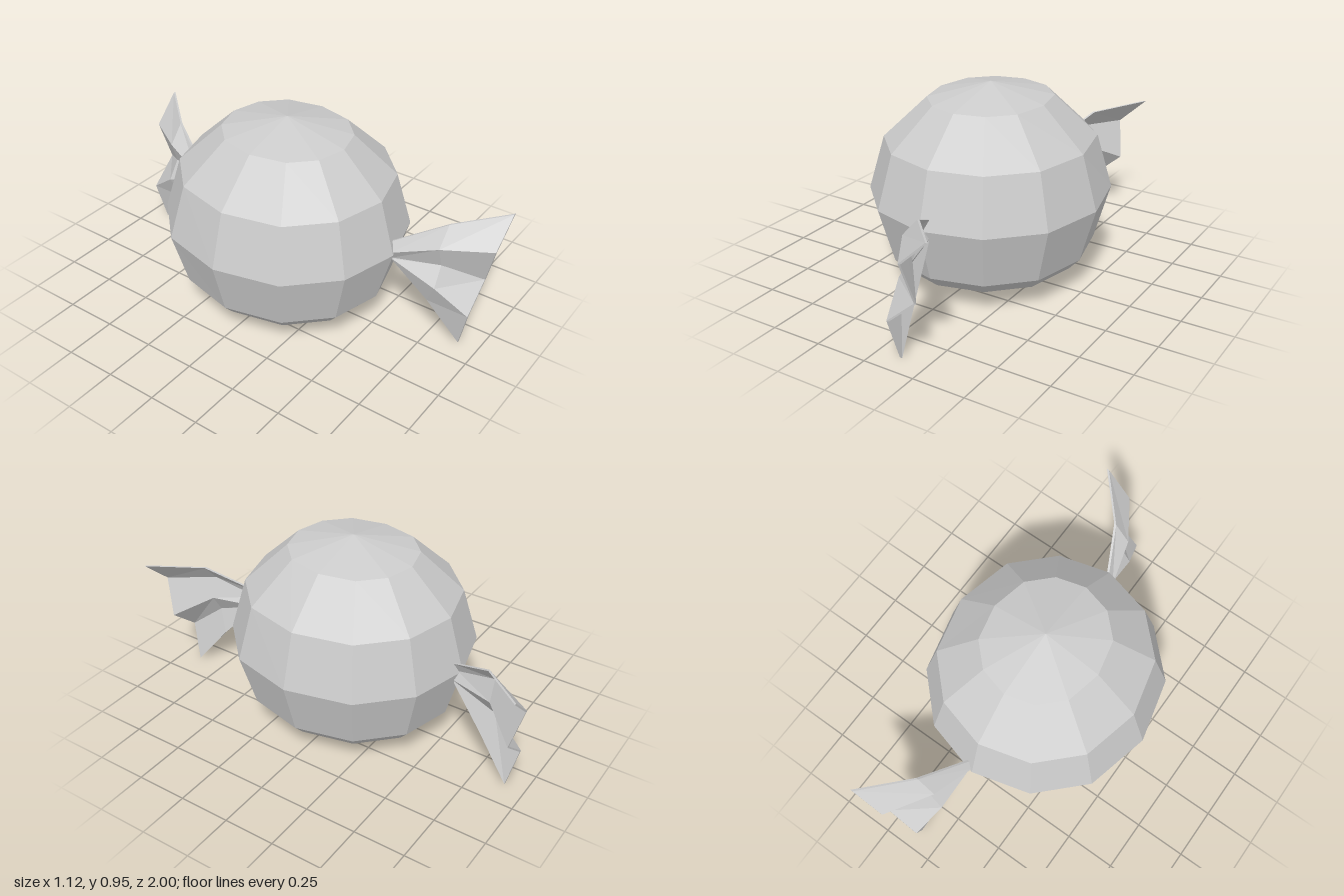
import * as THREE from 'three';

const material = new THREE.MeshStandardMaterial({ color: 0xcccccc, flatShading: true });

// Faceted dome with a recessed underside; front and back halves are pulled slightly apart
function makeBody() {
  const radius = 0.56, pull = 0.03;
  const profile = [
    [0, 0.48], [0.78, 0.25], [0.67, 0.095], [0.77, 0.107], [0.866, 0.165],
    [1, 0.43], [0.866, 0.69], [0.5, 0.885], [0, 0.955],
  ].map(([r, y]) => new THREE.Vector2(r * radius, y));
  const geometry = new THREE.LatheGeometry(profile, 12);
  const position = geometry.attributes.position;
  for (let i = 0; i < position.count; i++) {
    const z = position.getZ(i);
    if (Math.abs(z) > 1e-4) position.setZ(i, z + Math.sign(z) * pull);
  }
  // Poles stay centred
  for (let i = 0; i < position.count; i++) {
    if (Math.hypot(position.getX(i), position.getZ(i)) < pull + 0.01) position.setZ(i, 0);
  }
  const body = new THREE.Mesh(geometry, material);
  body.name = 'body';
  return body;
}

// Pleated fan: three cross-sections from the root to the free edge, each top to bottom
function makeFanGeometry() {
  const sections = [
    [[0.034, 0.485, 0.565], [0.012, 0.437, 0.575], [0.034, 0.395, 0.57], [0.032, 0.39, 0.57], [0.034, 0.383, 0.57]],
    [[0.145, 0.6, 0.785], [0.066, 0.51, 0.785], [0.102, 0.405, 0.785], [0.043, 0.31, 0.79], [0.08, 0.2, 0.74]],
    [[0.338, 0.635, 1], [0.199, 0.505, 0.995], [0.234, 0.315, 0.945], [0.09, 0.19, 0.945], [0.118, 0, 0.9]],
  ];
  const half = 0.006;
  const positions = [];
  const index = [];
  const n = sections[0].length;
  const ring = 2 * n;

  // Each ring goes down one side of the sheet and back up the other
  for (const section of sections) {
    for (const [x, y, z] of section) positions.push(x + half, y, z);
    for (const [x, y, z] of [...section].reverse()) positions.push(x - half, y, z);
  }
  for (let i = 0; i < sections.length - 1; i++) {
    for (let j = 0; j < ring; j++) {
      const k = (j + 1) % ring;
      const a = i * ring + j, b = i * ring + k;
      const c = b + ring, d = a + ring;
      index.push(a, d, c, a, c, b);
    }
  }

  // Narrow cap along the free edge
  const last = (sections.length - 1) * ring;
  for (let j = 0; j < n - 1; j++) {
    const a = last + j, b = last + ring - 1 - j;
    index.push(a, b, b - 1, a, b - 1, a + 1);
  }

  const geometry = new THREE.BufferGeometry();
  geometry.setAttribute('position', new THREE.Float32BufferAttribute(positions, 3));
  geometry.setIndex(index);
  geometry.computeVertexNormals();
  return geometry;
}

export function createModel() {
  const model = new THREE.Group();
  model.name = 'wrappedSweet';
  model.add(makeBody());

  // Same fan at both ends, mirrored front to back
  const fan = makeFanGeometry();
  for (const [name, side] of [['frontWrapperFan', 1], ['backWrapperFan', -1]]) {
    const mesh = new THREE.Mesh(fan, material);
    mesh.name = name;
    mesh.scale.z = side;
    model.add(mesh);
  }
  return model;
}
